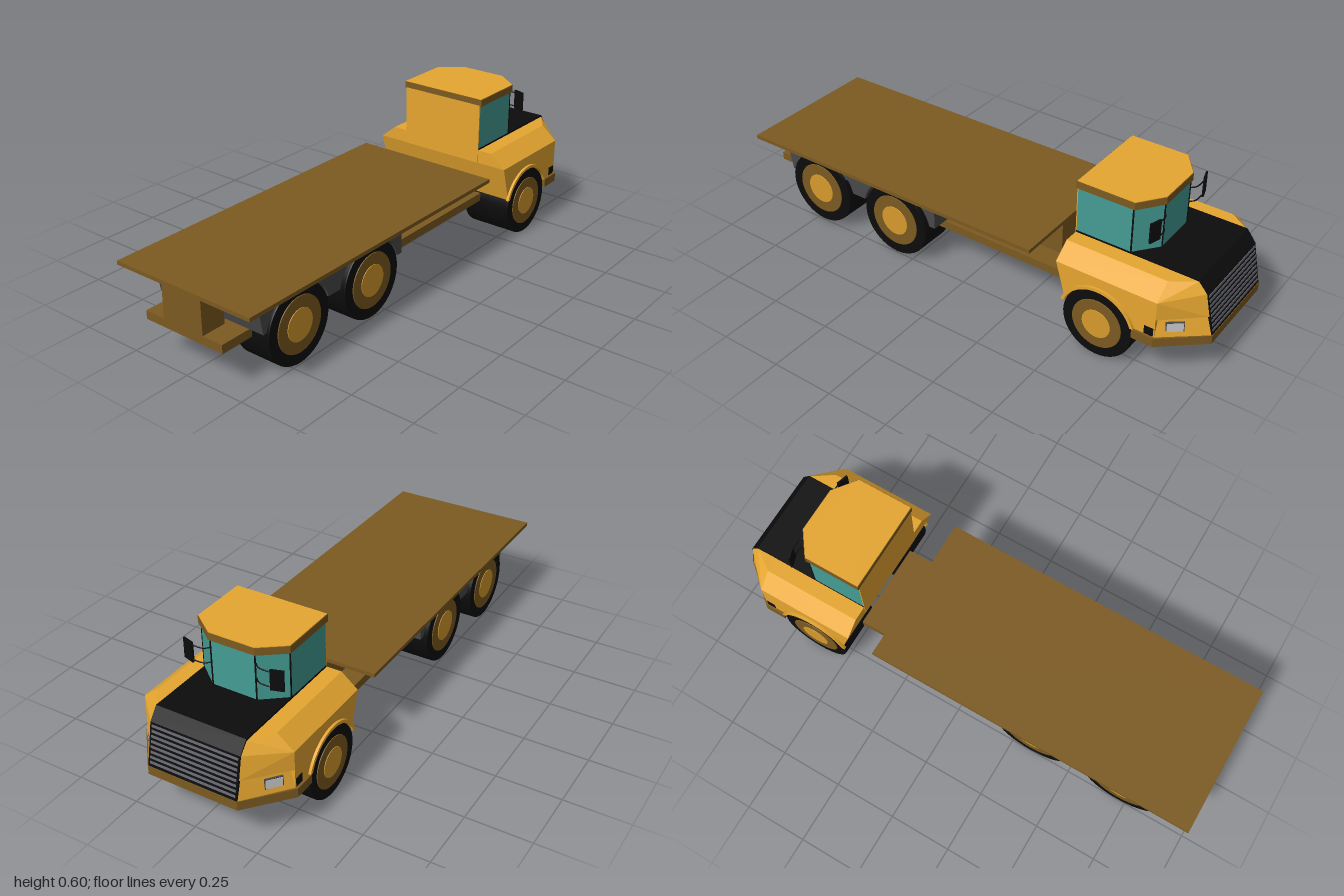
import * as THREE from 'three';
import { ConvexGeometry } from 'three/addons/geometries/ConvexGeometry.js';

const mat = (color) => new THREE.MeshStandardMaterial({ color, flatShading: true });
const smooth = (color) => new THREE.MeshStandardMaterial({ color });

export function createModel() {
  const model = new THREE.Group();
  const yellow = mat(0xe6a630), brown = mat(0x7c5a20), teal = mat(0x449c94);
  const black = mat(0x0c0c0c), grey = mat(0x48484a), slat = mat(0x666670), lamp = mat(0xcccccc);
  const tyreMat = smooth(0x0c0c0c), rimMat = smooth(0x7c5a20), hubMat = smooth(0xd69a2c);

  const add = (name, geometry, material, parent = model) => {
    const mesh = new THREE.Mesh(geometry, material);
    mesh.name = name;
    parent.add(mesh);
    return mesh;
  };
  // box given by its limits
  const box = (name, x0, x1, y0, y1, z0, z1, material) => {
    const mesh = add(name, new THREE.BoxGeometry(x1 - x0, y1 - y0, Math.abs(z1 - z0)), material);
    mesh.position.set((x0 + x1) / 2, (y0 + y1) / 2, (z0 + z1) / 2);
  };
  const toShape = (pts) => new THREE.Shape(pts.map(([a, b]) => new THREE.Vector2(a, b)));
  // side outline (x, y) extruded between z0 and z1
  const side = (shape, z0, z1) =>
    new THREE.ExtrudeGeometry(shape, { depth: z1 - z0, bevelEnabled: false, curveSegments: 24 }).translate(0, 0, z0);
  // half plan outline (x, z), mirrored over z, extruded between y0 and y1
  const plan = (half, y0, y1) => {
    const pts = [...half, ...half.map(([x, z]) => [x, -z]).reverse()];
    return new THREE.ExtrudeGeometry(toShape(pts), { depth: y1 - y0, bevelEnabled: false })
      .rotateX(Math.PI / 2).translate(0, y1, 0);
  };
  const hull = (pts, s) => new ConvexGeometry(pts.map(([x, y, z]) => new THREE.Vector3(x, y, z * s)));

  // flat bed and frame
  box('deck', -1, 0.338, 0.315, 0.33, -0.305, 0.305, brown);
  box('framePlate', -1, 0.479, 0.152, 0.185, -0.177, 0.177, brown);
  box('rearFrameWeb', -1, -0.9, 0.185, 0.315, -0.09, 0.09, brown);
  box('frontFrameWeb', -0.14, 0.338, 0.185, 0.315, -0.09, 0.09, brown);

  // rear wheel housings with two arches
  const rearX = [-0.714, -0.328], axleY = 0.154;
  const housing = new THREE.Shape();
  housing.moveTo(-0.9, 0.185);
  for (const x of rearX) {
    const a = Math.asin((0.185 - axleY) / 0.154);
    housing.absellipse(x, axleY, 0.165, 0.154, Math.PI - a, a, true, 0);
  }
  housing.lineTo(-0.14, 0.185);
  housing.lineTo(-0.14, 0.315);
  housing.lineTo(-0.9, 0.315);
  add('rearWheelHousing', side(housing, -0.24, 0.24), grey);

  // lower cab body with a close wheel arch across its whole width
  const wx = 0.622, wy = 0.138, arch = 0.141, a0 = Math.asin((0.185 - wy) / arch);
  const body = new THREE.Shape();
  body.moveTo(0.448, 0.185);
  body.absarc(wx, wy, arch, Math.PI - a0, a0, true);
  body.lineTo(0.845, 0.185);
  body.lineTo(0.845, 0.33);
  body.lineTo(0.448, 0.33);
  add('cabBody', side(body, -0.302, 0.302), yellow);
  add('bumper', plan([[0.762, 0.312], [0.845, 0.312], [1, 0.18]], 0.15, 0.185), brown);

  // black hood and slatted grille
  add('hood', side(toShape([[0.449, 0.33], [0.84, 0.33], [0.84, 0.185], [0.998, 0.185],
    [0.965, 0.345], [0.93, 0.39], [0.449, 0.39]]), -0.179, 0.179), black);
  for (let i = 0; i < 8; i++) {
    const y = 0.201 + i * 0.0188;
    const bar = add('grilleSlat', new THREE.BoxGeometry(0.004, 0.009, 0.344), slat);
    bar.position.set(0.998 - (y - 0.185) * 0.206, y, 0);
    bar.rotation.z = 0.203;
  }

  // cab
  const cabHalf = [[0.45, 0.178], [0.668, 0.178], [0.738, 0.09]];
  add('cabGlass', plan(cabHalf, 0.39, 0.572), teal);
  box('cabBackWall', 0.446, 0.452, 0.33, 0.572, -0.178, 0.178, yellow);
  add('roof', plan([[0.446, 0.185], [0.675, 0.185], [0.745, 0.092]], 0.568, 0.596), brown);
  add('roofTop', plan([[0.448, 0.183], [0.674, 0.183], [0.743, 0.091]], 0.596, 0.598), yellow);

  for (const s of [1, -1]) {
    // sloping fender top
    add('fenderTop', hull([0.448, 0.845].flatMap((x) => [[x, 0.33, 0.178], [x, 0.33, 0.302],
      [x, 0.383, 0.238], [x, 0.383, 0.178]]), s), yellow);
    // tapered nose, set in below the crease to carry the headlight
    add('upperNose', hull([[0.845, 0.258, 0.178], [0.845, 0.258, 0.302], [0.845, 0.33, 0.302],
      [0.845, 0.383, 0.238], [0.845, 0.383, 0.178], [0.93, 0.383, 0.18], [0.963, 0.345, 0.18],
      [0.981, 0.258, 0.18]], s), yellow);
    add('lowerNose', hull([[0.845, 0.185, 0.178], [0.845, 0.258, 0.178], [0.845, 0.185, 0.302],
      [0.845, 0.258, 0.283], [0.996, 0.185, 0.18], [0.975, 0.258, 0.18]], s), yellow);

    // raised lip round the front wheel arch
    const lip = new THREE.Shape();
    lip.absarc(wx, wy, 0.153, 0.32, Math.PI - 0.32, false);
    lip.absarc(wx, wy, arch, Math.PI - a0, a0, true);
    add('archLip', side(lip, s > 0 ? 0.3 : -0.312, s > 0 ? 0.312 : -0.3), yellow);

    // headlight on the tapered face, and side marker
    const light = new THREE.Group();
    light.name = 'headlight';
    light.position.set(0.893, 0.222, 0.251 * s);
    light.rotation.y = s > 0 ? 0.67 : Math.PI - 0.67;
    add('headlightFrame', new THREE.BoxGeometry(0.064, 0.04, 0.012), grey, light);
    add('headlightLens', new THREE.BoxGeometry(0.058, 0.034, 0.015), lamp, light);
    model.add(light);
    box('sideMarker', 0.805, 0.84, 0.187, 0.22, 0.295 * s, 0.3035 * s, black);

    // window pillars
    for (const [x, z] of cabHalf.slice(1))
      box('pillar', x - 0.003, x + 0.002, 0.39, 0.57, (z - 0.004) * s, (z + 0.001) * s, black);

    // thin swept-back mirror on two arms
    const mirror = add('mirror', new THREE.BoxGeometry(0.007, 0.079, 0.048), black);
    mirror.position.set(0.75, 0.506, 0.176 * s - 0.004);
    mirror.rotation.y = -0.3 * s;
    for (const y of [0.476, 0.534]) {
      const path = new THREE.CatmullRomCurve3([[0.736, 0.09], [0.753, 0.11], [0.756, 0.155]]
        .map(([x, z]) => new THREE.Vector3(x, y, z * s)));
      add('mirrorArm', new THREE.TubeGeometry(path, 8, 0.0025, 6), black);
    }
  }

  // wheels: lathed tyre with rim and hub on both faces, axis along z
  const lathe = (pts, r) => new THREE.LatheGeometry(
    pts.map(([q, z]) => new THREE.Vector2(q * r, z)), 40).rotateX(Math.PI / 2);
  const wheel = (x, y, z, r, w) => {
    const g = new THREE.Group();
    g.name = 'wheel';
    g.position.set(x, y, z);
    add('tyre', lathe([[0, -w], [0.99, -w], [0.99, -w], [1, 0.004 - w], [1, 0.004 - w],
      [1, w - 0.004], [1, w - 0.004], [0.99, w], [0.99, w], [0, w]], r), tyreMat, g);
    for (const turn of [0, Math.PI]) {
      const face = new THREE.Group();
      face.name = 'wheelFace';
      face.rotation.y = turn;
      add('rim', lathe([[0.72, w - 0.002], [0.71, w + 0.003], [0.71, w + 0.003], [0, w + 0.003]], r), rimMat, face);
      add('hub', lathe([[0.42, w], [0.41, w + 0.005], [0.41, w + 0.005], [0, w + 0.005]], r), hubMat, face);
      g.add(face);
    }
    model.add(g);
  };
  for (const s of [1, -1]) {
    wheel(wx, wy, 0.202 * s, 0.138, 0.102);
    for (const x of rearX) wheel(x, axleY, 0.175 * s, 0.15, 0.075);
  }
  return model;
}
